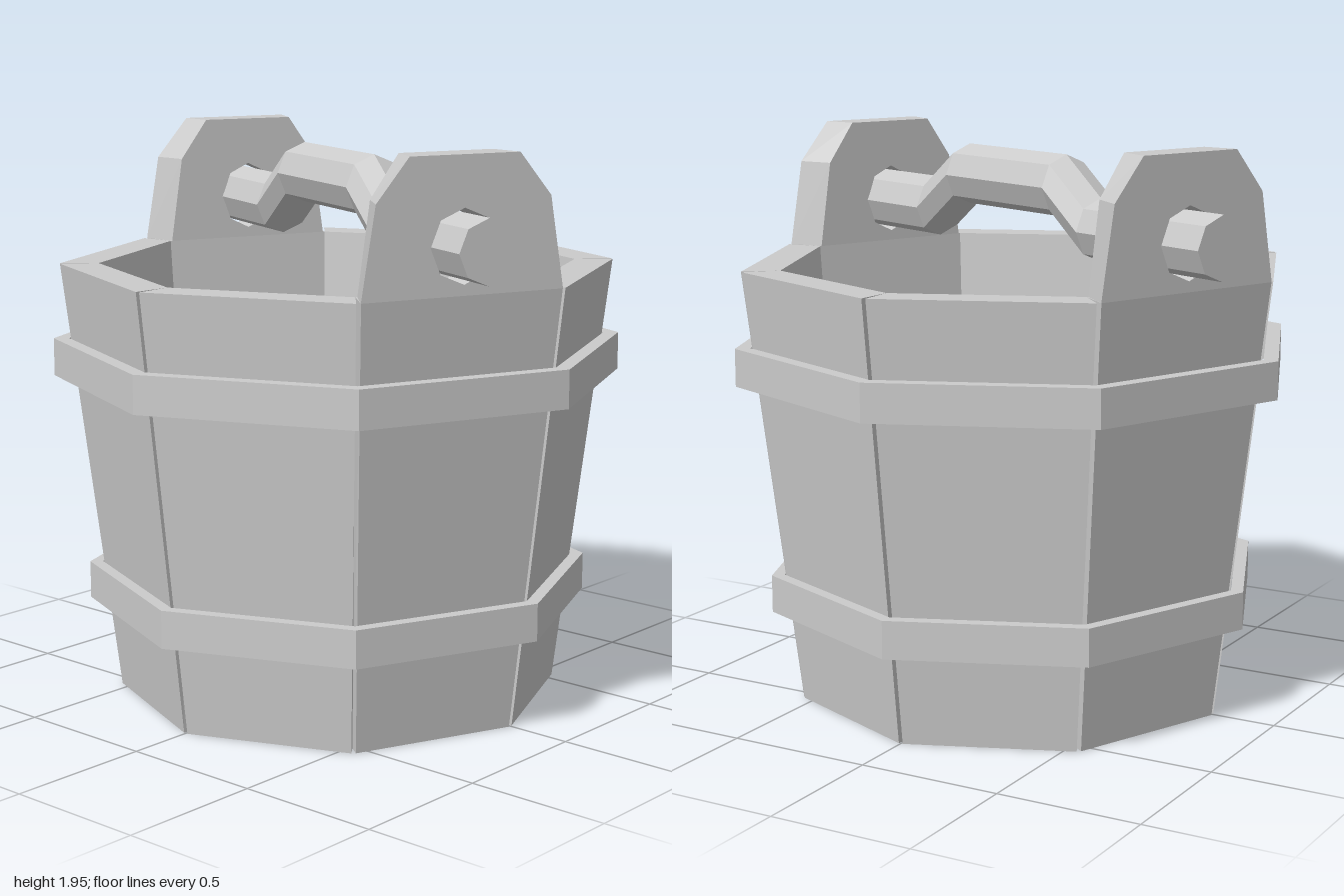
import * as THREE from 'three';

const SIN = Math.sin(Math.PI / 8), COS = Math.cos(Math.PI / 8);
const HEIGHT = 1.51;
const OUTER = [0.775, 0.96], INNER = [0.723, 0.825]; // corner radii at base and rim
const material = new THREE.MeshStandardMaterial({ color: 0xcccccc, flatShading: true });

function addMesh(parent, name, geometry) {
  const mesh = new THREE.Mesh(geometry, material);
  mesh.name = name;
  parent.add(mesh);
  return mesh;
}

// Move every vertex by a rule
function reshape(geometry, rule) {
  const pos = geometry.attributes.position;
  const v = new THREE.Vector3();
  for (let i = 0; i < pos.count; i++) {
    rule(v.fromBufferAttribute(pos, i));
    pos.setXYZ(i, v.x, v.y, v.z);
  }
  geometry.computeVertexNormals();
  return geometry;
}

// Tapered stave with a V-shaped gap to its neighbours
function staveGeometry() {
  return reshape(new THREE.BoxGeometry(1, 1, 1), (v) => {
    const radius = (v.z > 0 ? OUTER : INNER)[v.y > 0 ? 1 : 0];
    const gap = v.z > 0 ? 0.008 : 0;
    v.set(Math.sign(v.x) * (radius * SIN - gap), v.y > 0 ? HEIGHT : 0, radius * COS);
  });
}

// Upright ear with a handle hole, narrowing toward the inside
function earGeometry() {
  const half = [[0.36, HEIGHT], [0.31, 1.81], [0.195, 1.95]];
  const mirrored = half.map(([x, y]) => [-x, y]).reverse();
  const shape = new THREE.Shape([...half, ...mirrored].map(([x, y]) => new THREE.Vector2(x, y)));
  shape.holes.push(new THREE.Path(ring(0.12, 0, 1.665)));
  const outer = OUTER[1] * COS, inner = INNER[1] * COS;
  const geometry = new THREE.ExtrudeGeometry(shape, { depth: outer - inner, bevelEnabled: false });
  geometry.translate(0, 0, inner);
  return reshape(geometry, (v) => { v.x *= v.z / outer; });
}

// Octagon points
function ring(radius, cx = 0, cy = 0) {
  return Array.from({ length: 8 }, (_, i) => {
    const a = (i * Math.PI) / 4;
    return new THREE.Vector2(cx + radius * Math.cos(a), cy + radius * Math.sin(a));
  });
}

function hoopGeometry(outer, inner, y) {
  const shape = new THREE.Shape(ring(outer));
  shape.holes.push(new THREE.Path(ring(inner)));
  return new THREE.ExtrudeGeometry(shape, { depth: 0.13, bevelEnabled: false })
    .rotateX(-Math.PI / 2).translate(0, y, 0);
}

// Octagonal bar, raised in the middle
function handleGeometry() {
  const stations = [[-1.04, 1.665], [-0.45, 1.665], [-0.27, 1.795], [0.27, 1.795], [0.45, 1.665], [1.04, 1.665]];
  const bar = new THREE.CylinderGeometry(0.105, 0.105, 5, 8, 5).rotateX(Math.PI / 2);
  return reshape(bar, (v) => {
    const [z, y] = stations[Math.round(v.z + 2.5)];
    v.set(v.x, v.y + y, z);
  });
}

export function createModel() {
  const bucket = new THREE.Group();
  bucket.name = 'bucket';

  // Eight staves, two opposite ones carrying ears
  const stave = staveGeometry(), ear = earGeometry();
  for (let i = 0; i < 8; i++) {
    const angle = -Math.PI / 8 + (i * Math.PI) / 4;
    addMesh(bucket, 'stave', stave).rotation.y = angle;
    if (i % 4 === 0) addMesh(bucket, 'handleEar', ear).rotation.y = angle;
  }

  // Floor filling the bottom
  addMesh(bucket, 'floor', new THREE.CylinderGeometry(0.75, INNER[0], 0.4, 8).translate(0, 0.2, 0));

  // Hoops
  addMesh(bucket, 'lowerHoop', hoopGeometry(0.877, 0.832, 0.32));
  addMesh(bucket, 'upperHoop', hoopGeometry(0.985, 0.932, 1.12));

  // Handle through both ears
  addMesh(bucket, 'handle', handleGeometry()).rotation.y = -Math.PI / 8;

  return bucket;
}
